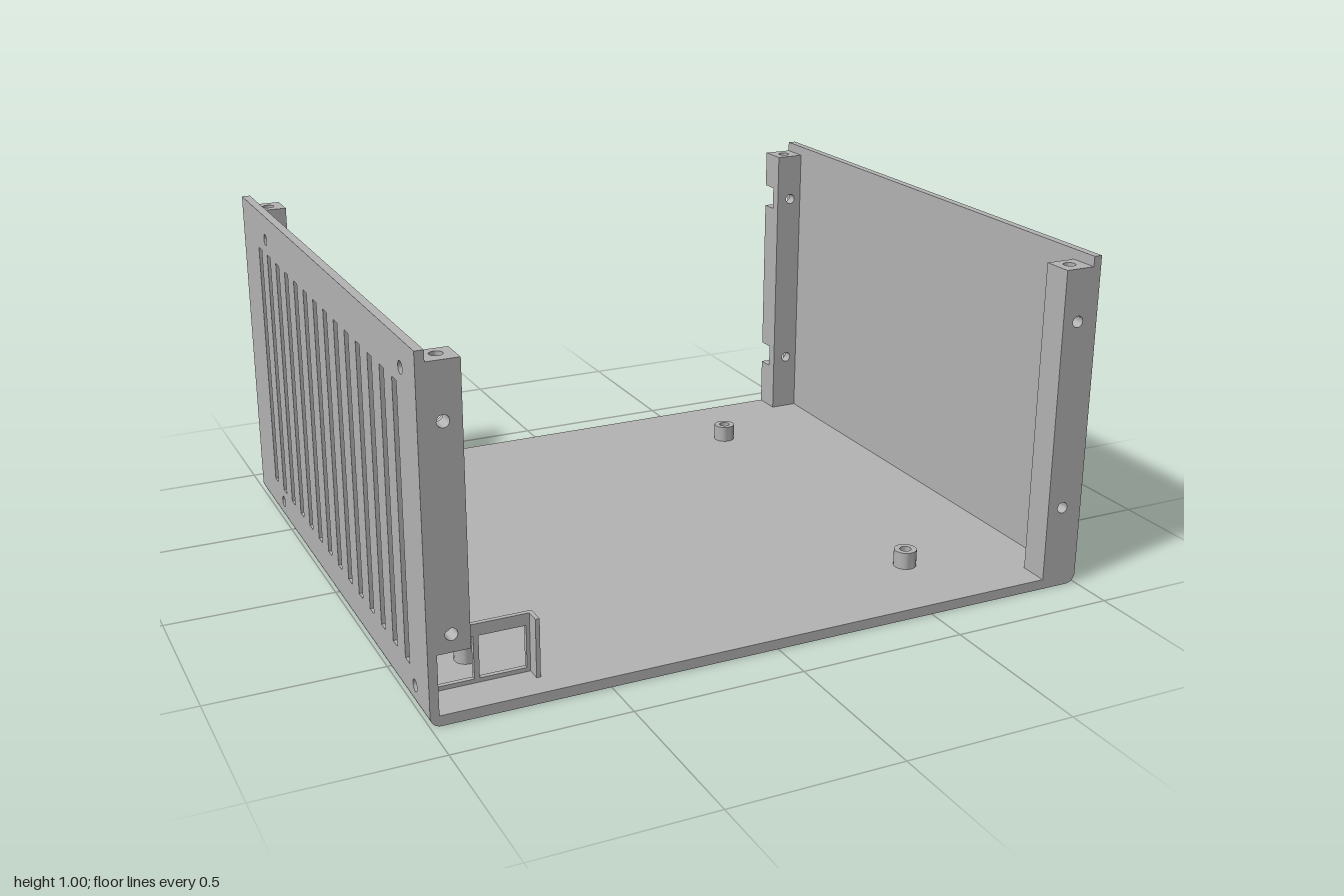
import * as THREE from 'three';
import { toCreasedNormals } from 'three/addons/utils/BufferGeometryUtils.js';

const grey = new THREE.MeshStandardMaterial({ color: 0xb3b3b3 });
grey.name = 'grey plastic';

const HALF_Z = 0.86, WALL = 0.025, FLOOR = 0.03, POST_TOP = 0.97, POST_IN = 0.885;

// Closed outline of a rectangle
function rect(x0, y0, x1, y1, Type = THREE.Shape) {
  const s = new Type();
  s.moveTo(x0, y0);
  s.lineTo(x1, y0);
  s.lineTo(x1, y1);
  s.lineTo(x0, y1);
  s.closePath();
  return s;
}

function circle(x, y, r) {
  const p = new THREE.Path();
  p.absarc(x, y, r, 0, Math.PI * 2, true);
  return p;
}

// Extrudes a shape along +z, keeping hard edges sharp and curves smooth
function slab(shape, depth, holes = []) {
  shape.holes.push(...holes);
  const g = new THREE.ExtrudeGeometry(shape, { depth, bevelEnabled: false, curveSegments: 10 });
  return toCreasedNormals(g, 0.7);
}

function add(parent, name, geometry) {
  const m = new THREE.Mesh(geometry, grey);
  m.name = name;
  parent.add(m);
  return m;
}

// Floor and solid side wall, with rounded lower edges
function addShell(group) {
  const s = new THREE.Shape();
  const r = 0.03;
  s.moveTo(-1 + r, 0);
  s.lineTo(1 - r, 0);
  s.absarc(1 - r, r, r, -Math.PI / 2, 0, false);
  s.lineTo(1, 1);
  s.lineTo(1 - WALL, 1);
  s.lineTo(1 - WALL, FLOOR);
  s.lineTo(-1, FLOOR);
  s.absarc(-1 + r, r, r, Math.PI, Math.PI * 1.5, false);
  add(group, 'floorAndLeftWall', slab(s, HALF_Z * 2).translate(0, 0, -HALF_Z));
}

// Side wall with a row of upright vents and four screw holes
function addVentWall(group) {
  const holes = [];
  for (let i = 0; i < 14; i++) {
    const z = -0.655 + i * 0.1035;
    holes.push(rect(z - 0.018, 0.11, z + 0.018, 0.88, THREE.Path));
  }
  for (const z of [-0.58, 0.745]) for (const y of [0.065, 0.925]) holes.push(circle(z, y, 0.017));
  const g = slab(rect(-HALF_Z, FLOOR, HALF_Z, 1), WALL, holes);
  add(group, 'ventedRightWall', g.rotateY(-Math.PI / 2).translate(-1 + WALL, 0, 0));
}

// Corner post: a drilled cap over two layers that hold the screw holes and nut pockets
function addPost(group, side, front) {
  const post = new THREE.Group();
  post.name = (front ? 'front' : 'back') + (side > 0 ? 'Left' : 'Right') + 'Post';
  group.add(post);
  const x0 = Math.min(side * POST_IN, side * (1 - WALL));
  const x1 = Math.max(side * POST_IN, side * (1 - WALL));
  const bottom = front && side < 0 ? 0.2 : FLOOR;
  const capY = 0.89;
  const cx = side * 0.935;
  const screwYs = front ? [0.25, 0.815] : [0.22, 0.815];
  const zc = front ? 0.81 : -0.815;
  const zMin = front ? 0.77 : -HALF_Z;
  const zMax = front ? HALF_Z : -0.77;

  const cap = slab(rect(x0, -zMax, x1, -zMin), POST_TOP - capY, [circle(side * 0.93, -zc, 0.018)]);
  add(post, 'postCap', cap.rotateX(-Math.PI / 2).translate(0, capY, 0));

  const drilled = (r) => screwYs.map((y) => circle(cx, y, r));
  if (front) {
    add(post, 'screwLayer', slab(rect(x0, bottom, x1, capY), 0.05, drilled(0.017)).translate(0, 0, 0.81));
    add(post, 'nutLayer', slab(rect(x0, bottom, x1, capY), 0.04, drilled(0.032)).translate(0, 0, 0.77));
  } else {
    add(post, 'screwLayer', slab(rect(x0, bottom, x1, capY), 0.035, drilled(0.017)).translate(0, 0, -0.805));
    // Outer layer broken by nut slots open to the back and inner side
    const edges = [bottom, screwYs[0] - 0.037, screwYs[0] + 0.037, screwYs[1] - 0.037, screwYs[1] + 0.037, capY];
    for (let i = 0; i < 6; i += 2) {
      add(post, 'slottedLayer', slab(rect(x0, edges[i], x1, edges[i + 1]), 0.055).translate(0, 0, -HALF_Z));
    }
  }
}

// Hollow board standoff
function addStandoff(group, x, z) {
  const pts = [[0.017, 0], [0.034, 0], [0.034, 0.052], [0.017, 0.052], [0.017, 0]];
  const g = new THREE.LatheGeometry(pts.map(([r, y]) => new THREE.Vector2(r, y)), 24);
  add(group, 'standoff', toCreasedNormals(g, 0.7)).position.set(x, FLOOR, z);
}

// Two-window bracket behind the front right corner
function addBracket(group) {
  const bracket = new THREE.Group();
  bracket.name = 'socketBracket';
  group.add(bracket);
  const windows = [rect(-0.96, 0.042, -0.837, 0.165, THREE.Path), rect(-0.822, 0.042, -0.69, 0.165, THREE.Path)];
  add(bracket, 'bracketFrame', slab(rect(-1 + WALL, FLOOR, -0.668, 0.2), 0.014, windows).translate(0, 0, 0.724));
  add(bracket, 'bracketFlange', slab(rect(-0.68, FLOOR, -0.668, 0.2), 0.042).translate(0, 0, 0.738));
  const peg = new THREE.CylinderGeometry(0.014, 0.014, 0.012, 16).rotateZ(Math.PI / 2);
  add(bracket, 'wallPeg', peg).position.set(-0.97, 0.09, 0.8);
}

export function createModel() {
  const group = new THREE.Group();
  group.name = 'openEnclosure';
  addShell(group);
  addVentWall(group);
  for (const side of [-1, 1]) for (const front of [true, false]) addPost(group, side, front);
  for (const [x, z] of [[-0.81, -0.765], [0.575, -0.565], [-0.81, 0.6], [0.575, 0.6]]) addStandoff(group, x, z);
  addBracket(group);
  return group;
}
